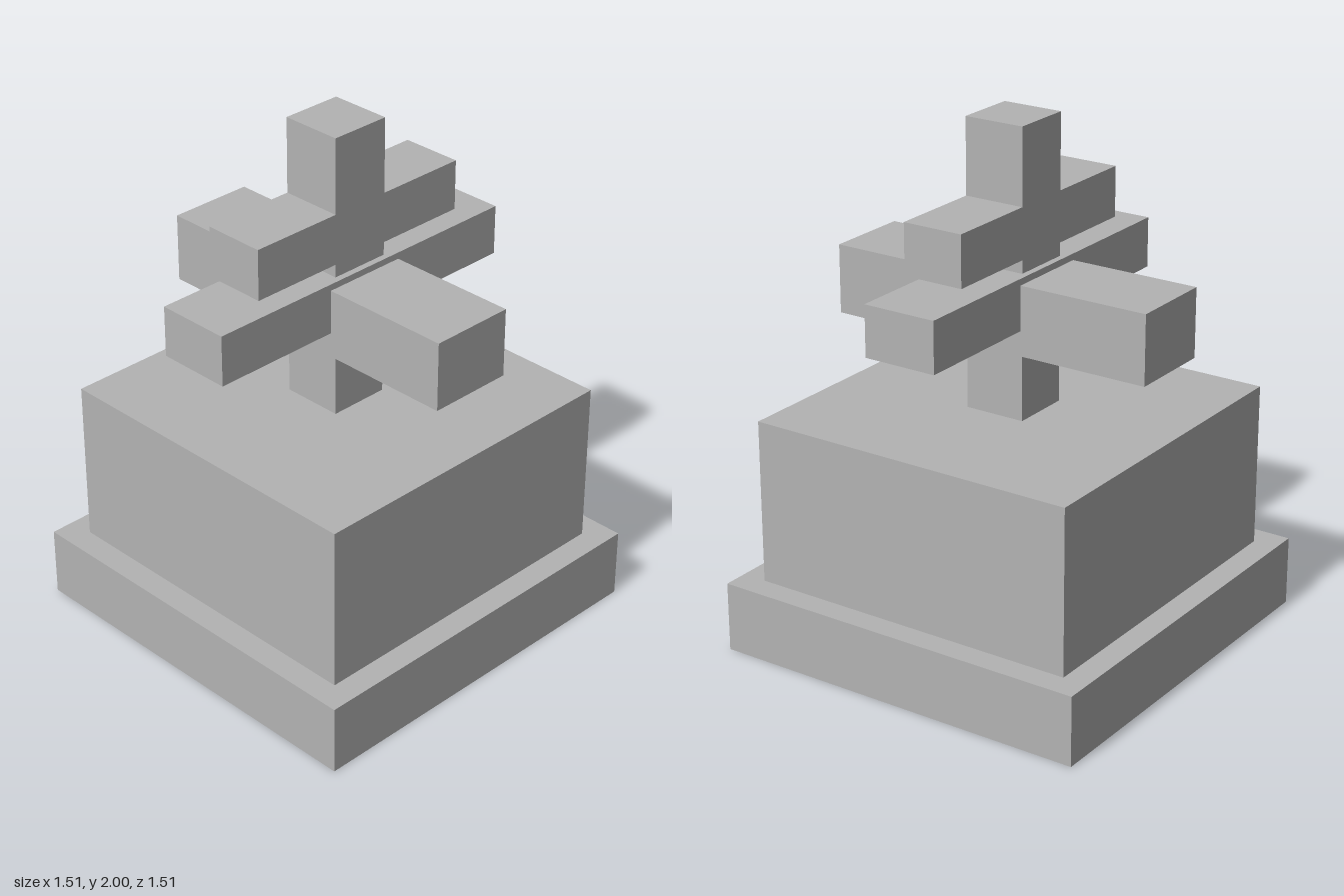
import * as THREE from 'three';

const stone = new THREE.MeshStandardMaterial({ color: 0xb3b3b3 });
stone.name = 'stone grey';

// Centred box: half width, bottom, top, half depth
function block(name, halfX, y0, y1, halfZ) {
  const mesh = new THREE.Mesh(new THREE.BoxGeometry(halfX * 2, y1 - y0, halfZ * 2), stone);
  mesh.name = name;
  mesh.position.y = (y0 + y1) / 2;
  return mesh;
}

export function createModel() {
  const model = new THREE.Group();
  model.name = 'crossMonument';
  model.add(
    // Stepped pedestal
    block('baseSlab', 0.757, 0, 0.27, 0.757),
    block('pedestal', 0.66, 0.27, 0.905, 0.66),
    // Upright and the beams that cross it
    block('post', 0.12, 0.905, 2, 0.12),
    block('frontToBackBeam', 0.168, 1.175, 1.44, 0.66),
    block('sideToSideBeam', 0.683, 1.27, 1.465, 0.145),
    block('upperCrossArm', 0.487, 1.515, 1.71, 0.12),
  );
  return model;
}
